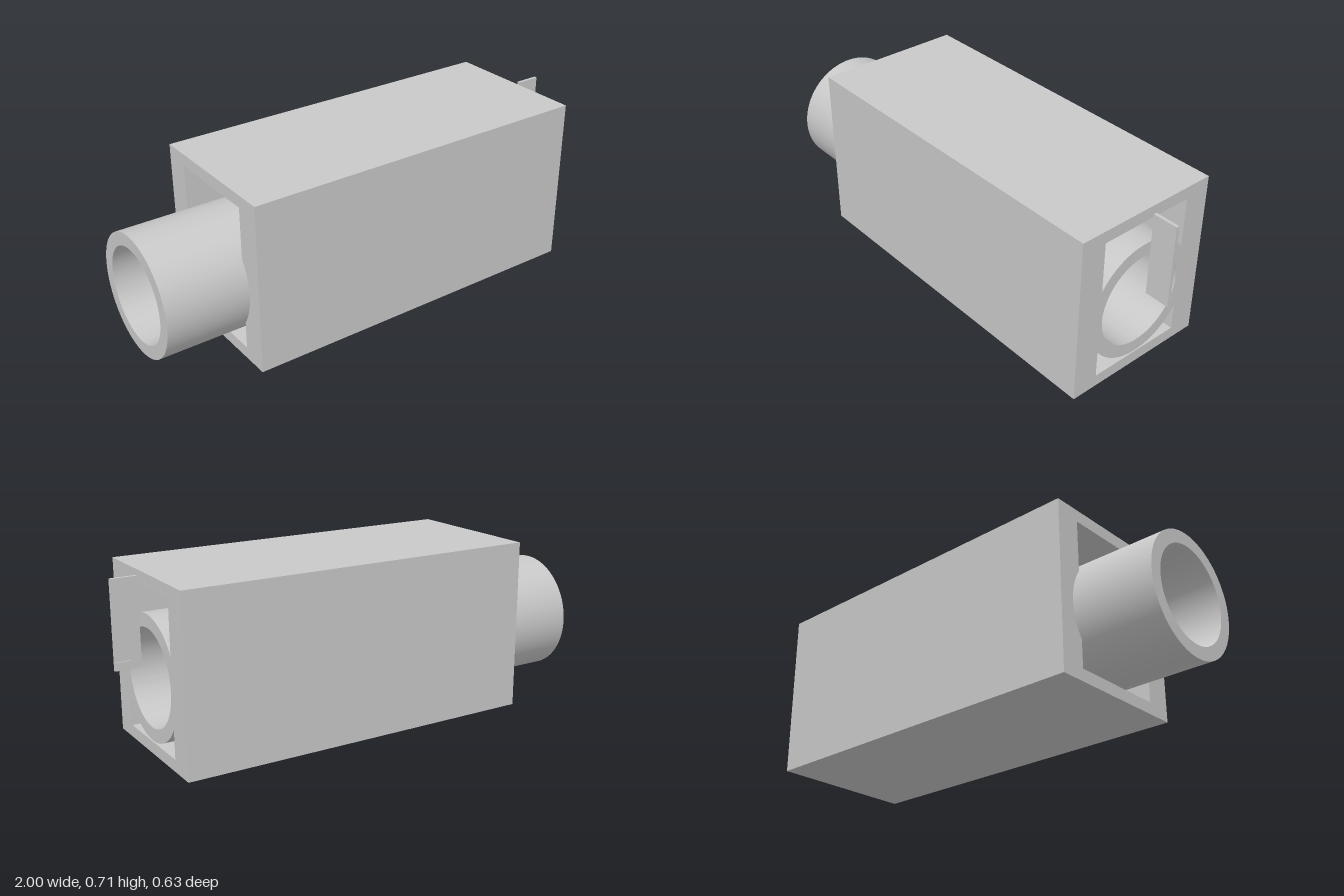
import * as THREE from 'three';
import { toCreasedNormals } from 'three/addons/utils/BufferGeometryUtils.js';

const CY = 0.306, OUTER = 0.25, BORE = 0.196; // tube axis height and radii
const IN_Z = 0.207, IN_LOW = 0.05, IN_TOP = 0.66; // inside of the housing

// Extrude a cross-section (z, y) along x from x0 to x1
function alongX(shape, x0, x1) {
  const geo = new THREE.ExtrudeGeometry(shape, { depth: x1 - x0, bevelEnabled: false, curveSegments: 64 });
  geo.rotateY(Math.PI / 2).translate(x0, 0, 0);
  return toCreasedNormals(geo, 0.5);
}

function circle(Type, r) {
  const p = new Type();
  p.absarc(0, CY, r, 0, Math.PI * 2, false);
  return p;
}

// Gap between the housing's inner wall and the tube (side: 1 above, -1 below)
function pocket(side) {
  const a = Math.acos(IN_Z / OUTER);
  const edge = side > 0 ? IN_TOP : IN_LOW;
  const p = new THREE.Path();
  p.moveTo(-IN_Z, edge);
  p.lineTo(IN_Z, edge);
  p.lineTo(IN_Z, CY + side * OUTER * Math.sin(a));
  p.absarc(0, CY, OUTER, side * a, side * (Math.PI - a), side < 0);
  p.closePath();
  return p;
}

export function createModel() {
  const model = new THREE.Group();
  const grey = new THREE.MeshStandardMaterial({ color: 0xc8c8c8 });
  grey.name = 'light grey';
  const add = (name, geo) => {
    const mesh = new THREE.Mesh(geo, grey);
    mesh.name = name;
    model.add(mesh);
  };
  const box = (name, x0, x1, y0, y1, z0, z1) => add(name,
    new THREE.BoxGeometry(x1 - x0, y1 - y0, z1 - z0).translate((x0 + x1) / 2, (y0 + y1) / 2, (z0 + z1) / 2));

  // Rectangular housing merged with the bore of the tube
  const section = new THREE.Shape();
  section.moveTo(-0.317, 0).lineTo(0.317, 0).lineTo(0.317, 0.711).lineTo(-0.317, 0.711).closePath();
  section.holes.push(circle(THREE.Path, BORE), pocket(1), pocket(-1));
  add('housing', alongX(section, -0.66, 0.866));

  // Tube sticking out of the right end
  const ring = circle(THREE.Shape, OUTER);
  ring.holes.push(circle(THREE.Path, BORE));
  add('tube', alongX(ring, -1, -0.66));

  // Thin upright plate off the other end, with a small ridge on its back
  box('plate', 0.896, 1, 0.357, 0.706, -0.0065, 0.0065);
  box('ridge', 0.94, 1, 0.381, 0.391, -0.012, -0.006);

  return model;
}
